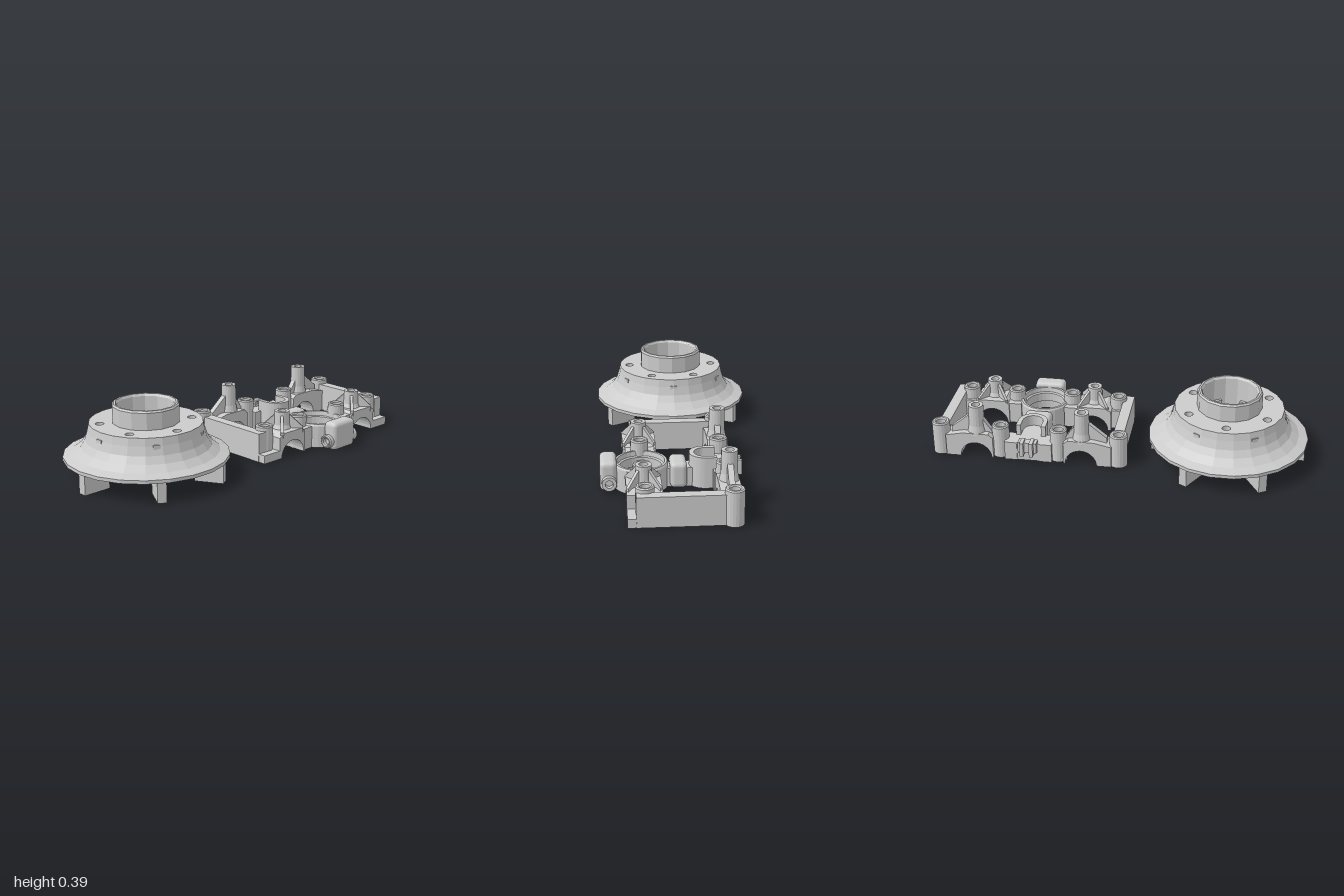
import * as THREE from 'three';
import { RoundedBoxGeometry } from 'three/addons/geometries/RoundedBoxGeometry.js';

const material = new THREE.MeshStandardMaterial({ color: 0xcccccc, flatShading: true });

function add(parent, name, geometry, x = 0, y = 0, z = 0) {
  const mesh = new THREE.Mesh(geometry, material);
  mesh.name = name;
  mesh.position.set(x, y, z);
  parent.add(mesh);
  return mesh;
}

// Box given by its limits on each axis
function block(parent, name, x0, x1, y0, y1, z0, z1) {
  const geometry = new THREE.BoxGeometry(x1 - x0, y1 - y0, Math.abs(z1 - z0));
  return add(parent, name, geometry, (x0 + x1) / 2, (y0 + y1) / 2, (z0 + z1) / 2);
}

// Closed profile of [radius, height], outer side going up
function turned(points, sides) {
  return new THREE.LatheGeometry([...points, points[0]].map(p => new THREE.Vector2(p[0], p[1])), sides);
}

function tube(inner, outer, height, sides = 20) {
  const c = 0.006;
  return turned([[inner, 0], [outer, 0], [outer, height - c], [outer - c, height], [inner + c, height], [inner, height - c]], sides);
}

// Outline in (z, y), extruded across x from x0 to x1
function sideways(points, x0, x1) {
  const shape = points instanceof THREE.Shape ? points : new THREE.Shape(points.map(p => new THREE.Vector2(p[0], p[1])));
  const geometry = new THREE.ExtrudeGeometry(shape, { depth: x1 - x0, bevelEnabled: false, curveSegments: 16 });
  return geometry.rotateY(-Math.PI / 2).translate(x1, 0, 0);
}

// Hub: flared shell, drilled plate, collar and radial legs
function makeHub() {
  const hub = new THREE.Group();
  hub.name = 'hub';
  add(hub, 'flaredShell', turned([
    [0.36, 0.105], [0.424, 0.105], [0.424, 0.123], [0.375, 0.14], [0.335, 0.17], [0.312, 0.205], [0.298, 0.25], [0.29, 0.29],
    [0.265, 0.29], [0.265, 0.25], [0.285, 0.2], [0.32, 0.155], [0.36, 0.135],
  ], 22));
  add(hub, 'innerRing', turned([[0.29, 0.115], [0.32, 0.115], [0.32, 0.165], [0.29, 0.2]], 22));

  const plate = new THREE.Shape().absarc(0, 0, 0.275, 0, Math.PI * 2);
  plate.holes.push(new THREE.Path().absarc(0, 0, 0.155, 0, Math.PI * 2, true));
  for (let i = 0; i < 6; i++) {
    const a = i * Math.PI / 3;
    plate.holes.push(new THREE.Path().absarc(0.235 * Math.cos(a), 0.235 * Math.sin(a), 0.022, 0, Math.PI * 2, true));
  }
  const plateGeometry = new THREE.ExtrudeGeometry(plate, { depth: 0.04, bevelEnabled: false, curveSegments: 11 });
  add(hub, 'boltPlate', plateGeometry.rotateX(-Math.PI / 2), 0, 0.25, 0);

  add(hub, 'collar', turned([
    [0.085, 0.15], [0.12, 0.15], [0.13, 0.24], [0.172, 0.25], [0.172, 0.378], [0.165, 0.387],
    [0.155, 0.387], [0.147, 0.375], [0.142, 0.2], [0.085, 0.2],
  ], 14));

  for (let i = 0; i < 6; i++) {
    const leg = new THREE.Group();
    leg.name = 'leg';
    leg.rotation.y = Math.PI / 6 + i * Math.PI / 3;
    block(leg, 'foot', 0.26, 0.412, 0, 0.115, -0.023, 0.023);
    block(leg, 'rib', 0.125, 0.3, 0.11, 0.255, -0.018, 0.018);
    hub.add(leg);
  }
  return hub;
}

// Arched bearing saddle between two bosses; s = +1 or -1 picks the end
const ARCH = 0.284;
function saddle(start, end, s, top) {
  const shape = new THREE.Shape();
  shape.moveTo(s * start, 0);
  shape.lineTo(s * (ARCH - 0.085), 0);
  for (let i = 1; i <= 14; i++) {
    const a = Math.PI * (1 - i / 14);
    shape.lineTo(s * (ARCH + 0.085 * Math.cos(a)), 0.085 * Math.sin(a));
  }
  shape.lineTo(s * end, 0);
  shape.lineTo(s * end, top - 0.02);
  shape.lineTo(s * (ARCH + 0.07), top);
  shape.lineTo(s * (ARCH - 0.07), top);
  shape.lineTo(s * start, top - 0.02);
  shape.closePath();
  return shape;
}

// Solid post with a blind screw hole
function post(height, base) {
  return turned([[0, 0], [base, 0], [0.042, height * 0.3], [0.04, height], [0.022, height], [0.022, height - 0.06], [0, height - 0.06]], 18);
}

function makeFrame() {
  const frame = new THREE.Group();
  frame.name = 'bearingFrame';
  const LX = -0.195, RX = 0.217;

  for (const s of [1, -1]) {
    // Left rail
    add(frame, 'cornerBoss', tube(0.025, 0.048, 0.182), LX - 0.005, 0, s * 0.481);
    add(frame, 'leftInnerBoss', tube(0.025, 0.046, 0.182), LX + 0.005, 0, s * 0.157);
    add(frame, 'leftSaddle', sideways(saddle(0.19, 0.447, s, 0.14), -0.245, -0.14));
    add(frame, 'tallPost', post(0.165, 0.052), LX, 0.128, s * ARCH);
    add(frame, 'outerGusset', sideways([[s * 0.3, 0.12], [s * 0.42, 0.12], [s * 0.42, 0.155], [s * 0.315, 0.24], [s * 0.3, 0.24]], LX - 0.015, LX + 0.015));
    add(frame, 'innerGusset', sideways([[s * 0.27, 0.12], [s * 0.2, 0.12], [s * 0.2, 0.145], [s * 0.25, 0.22], [s * 0.27, 0.22]], LX - 0.015, LX + 0.015));

    // Right rail
    add(frame, 'rightOuterBoss', tube(0.025, 0.046, 0.18), RX, 0, s * 0.418);
    add(frame, 'rightInnerBoss', tube(0.025, 0.046, 0.182), RX, 0, s * 0.157);
    add(frame, 'rightSaddle', sideways(saddle(0.19, 0.386, s, 0.135), 0.13, 0.302));
    add(frame, 'shortPost', post(0.105, 0.055), RX, 0.125, s * ARCH);
    for (const dx of [1, -1]) for (const dz of [1, -1]) {
      const rib = add(frame, 'diagonalGusset',
        sideways([[0, 0.11], [0.115, 0.11], [0.115, 0.14], [0.04, 0.21], [0, 0.21]], -0.008, 0.008), RX, 0, s * ARCH);
      rib.rotation.y = Math.atan2(dx, dz);
    }
    block(frame, 'ringWeb', 0.14, 0.19, 0, 0.12, s * 0.122, s * 0.2);
    block(frame, 'ringWeb', 0.244, 0.29, 0, 0.12, s * 0.122, s * 0.2);
    block(frame, 'cornerWeb', 0.16, 0.19, 0, 0.11, s * 0.38, s * 0.45);
    block(frame, 'cornerFoot', 0.245, 0.302, 0, 0.045, s * 0.38, s * 0.5);

    // End wall, joining both rails
    block(frame, 'endWall', -0.17, 0.26, 0, 0.155, s * 0.445, s * 0.502);

    // Left rail middle
    block(frame, 'leftMiddleRail', -0.245, -0.14, 0, 0.105, s * 0.06, s * 0.127);
    block(frame, 'clevisCheek', -0.29, -0.23, 0.05, 0.13, s * 0.015, s * 0.035);
  }

  // Large bearing ring with a stepped bore
  add(frame, 'bearingRing', turned([
    [0.118, 0], [0.138, 0], [0.138, 0.12], [0.132, 0.13], [0.12, 0.13], [0.116, 0.105],
    [0.107, 0.1], [0.107, 0.05], [0.118, 0.045],
  ], 32), RX, 0, 0);

  // Round-ended pocket: floor and U-shaped wall
  const outline = (target, r) => {
    target.moveTo(-0.24, -r);
    target.lineTo(-0.105, -r);
    target.absarc(-0.105, 0, r, -Math.PI / 2, Math.PI / 2);
    target.lineTo(-0.24, r);
  };
  const floor = new THREE.Shape();
  outline(floor, 0.075);
  const wall = new THREE.Shape();
  wall.moveTo(-0.16, -0.08);
  wall.lineTo(-0.105, -0.08);
  wall.absarc(-0.105, 0, 0.08, -Math.PI / 2, Math.PI / 2);
  wall.lineTo(-0.16, 0.08);
  wall.lineTo(-0.16, 0.055);
  wall.lineTo(-0.105, 0.055);
  wall.absarc(-0.105, 0, 0.055, Math.PI / 2, -Math.PI / 2, true);
  wall.lineTo(-0.16, -0.055);
  const upright = (shape, depth) => new THREE.ExtrudeGeometry(shape, { depth, bevelEnabled: false, curveSegments: 14 }).rotateX(-Math.PI / 2);
  add(frame, 'pocketFloor', upright(floor, 0.105));
  add(frame, 'pocketWall', upright(wall, 0.165));
  block(frame, 'clevisBridge', -0.265, -0.22, 0.06, 0.12, -0.05, 0.05);

  // Lobes on both sides of the ring, the outer one with a cross tube
  add(frame, 'outerLobe', new RoundedBoxGeometry(0.085, 0.155, 0.17, 3, 0.025), 0.381, 0.0775, 0);
  add(frame, 'innerLobe', new RoundedBoxGeometry(0.085, 0.135, 0.15, 3, 0.025), 0.03, 0.0675, 0);
  block(frame, 'lobeBridge', -0.04, 0.09, 0, 0.1, -0.045, 0.045);
  const crossTube = add(frame, 'crossTube', tube(0.02, 0.037, 0.22), 0.378, 0.05, -0.11);
  crossTube.rotation.x = Math.PI / 2;
  return frame;
}

export function createModel() {
  const model = new THREE.Group();
  model.name = 'hubAndBearingFrame';
  const hub = makeHub();
  hub.position.set(-0.005, 0, 0.577);
  const frame = makeFrame();
  frame.position.z = -0.466;
  model.add(hub, frame);
  return model;
}
